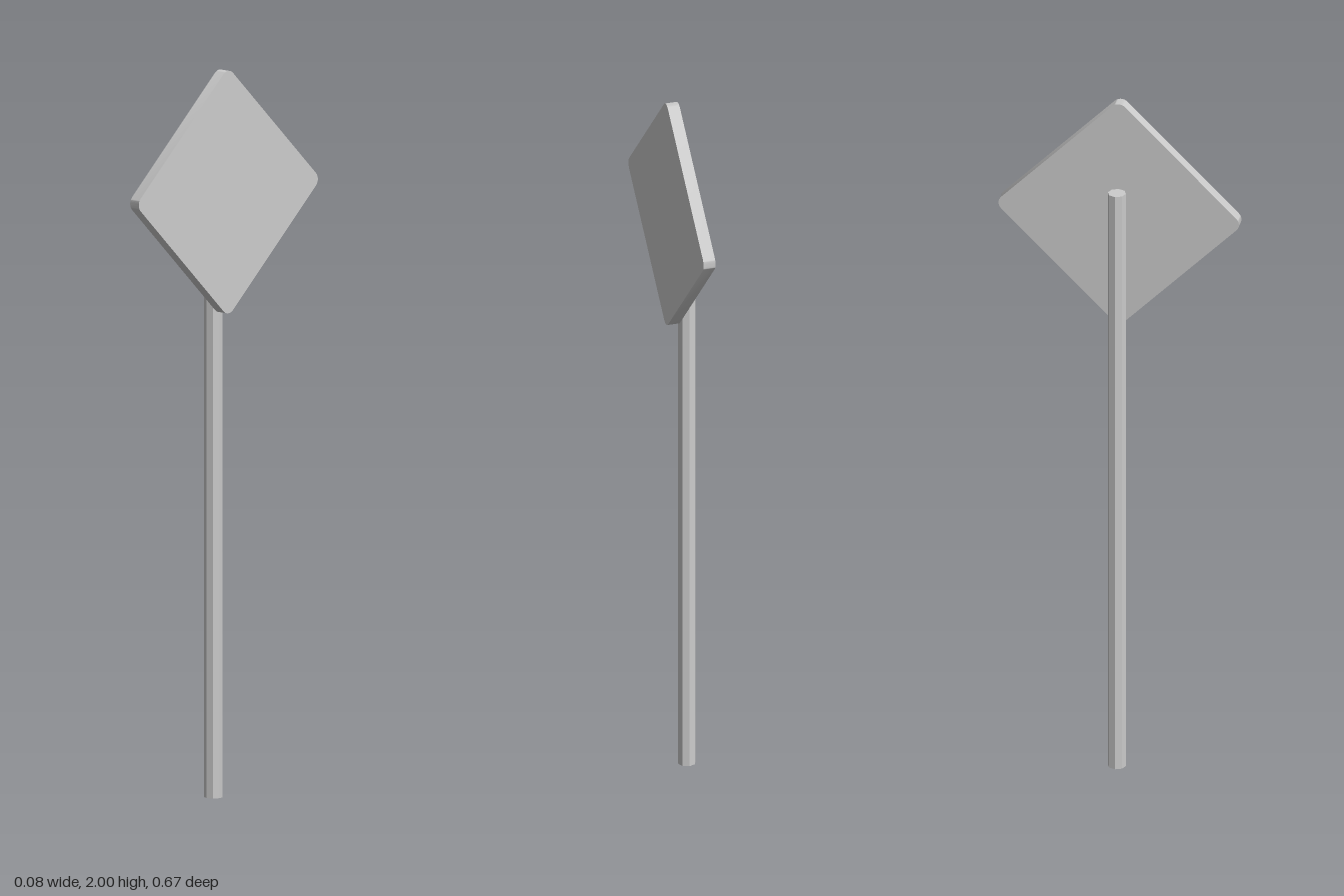
import * as THREE from 'three';
import { toCreasedNormals } from 'three/addons/utils/BufferGeometryUtils.js';

const POLE_X = -0.017, POLE_R = 0.025, POLE_H = 1.742;
const PLATE_Y = 1.667, PLATE_BACK = 0.008, PLATE_DEPTH = 0.034;

// Square outline with rounded corners, centred on the origin
function roundedSquare(side, r) {
  const h = side / 2, c = h - r;
  const shape = new THREE.Shape();
  shape.absarc(c, c, r, 0, Math.PI / 2);
  shape.absarc(-c, c, r, Math.PI / 2, Math.PI);
  shape.absarc(-c, -c, r, Math.PI, Math.PI * 1.5);
  shape.absarc(c, -c, r, Math.PI * 1.5, Math.PI * 2);
  shape.closePath();
  return shape;
}

export function createModel() {
  const model = new THREE.Group();
  model.name = 'roadSign';
  const flat = new THREE.MeshStandardMaterial({ color: 0xcccccc, flatShading: true });
  const smooth = new THREE.MeshStandardMaterial({ color: 0xcccccc });

  // Eight-sided post, open at the foot
  const post = new THREE.Mesh(
    new THREE.CylinderGeometry(POLE_R, POLE_R, POLE_H, 8, 1, true), flat);
  post.name = 'post';
  post.position.set(POLE_X, POLE_H / 2, 0);
  model.add(post);

  // Lid closing the top of the post
  const cap = new THREE.Mesh(new THREE.CircleGeometry(POLE_R, 8), flat);
  cap.name = 'postCap';
  cap.rotation.x = -Math.PI / 2;
  cap.position.set(POLE_X, POLE_H, 0);
  model.add(cap);

  // Diamond plate: rounded square turned on its corner, facing +x
  const plateGeometry = new THREE.ExtrudeGeometry(roundedSquare(0.485, 0.025), {
    depth: PLATE_DEPTH, bevelEnabled: false, curveSegments: 6,
  });
  plateGeometry.rotateZ(Math.PI / 4).rotateY(Math.PI / 2);
  const plate = new THREE.Mesh(toCreasedNormals(plateGeometry, Math.PI / 5), smooth);
  plate.name = 'signPlate';
  plate.position.set(PLATE_BACK, PLATE_Y, 0);
  model.add(plate);

  return model;
}
